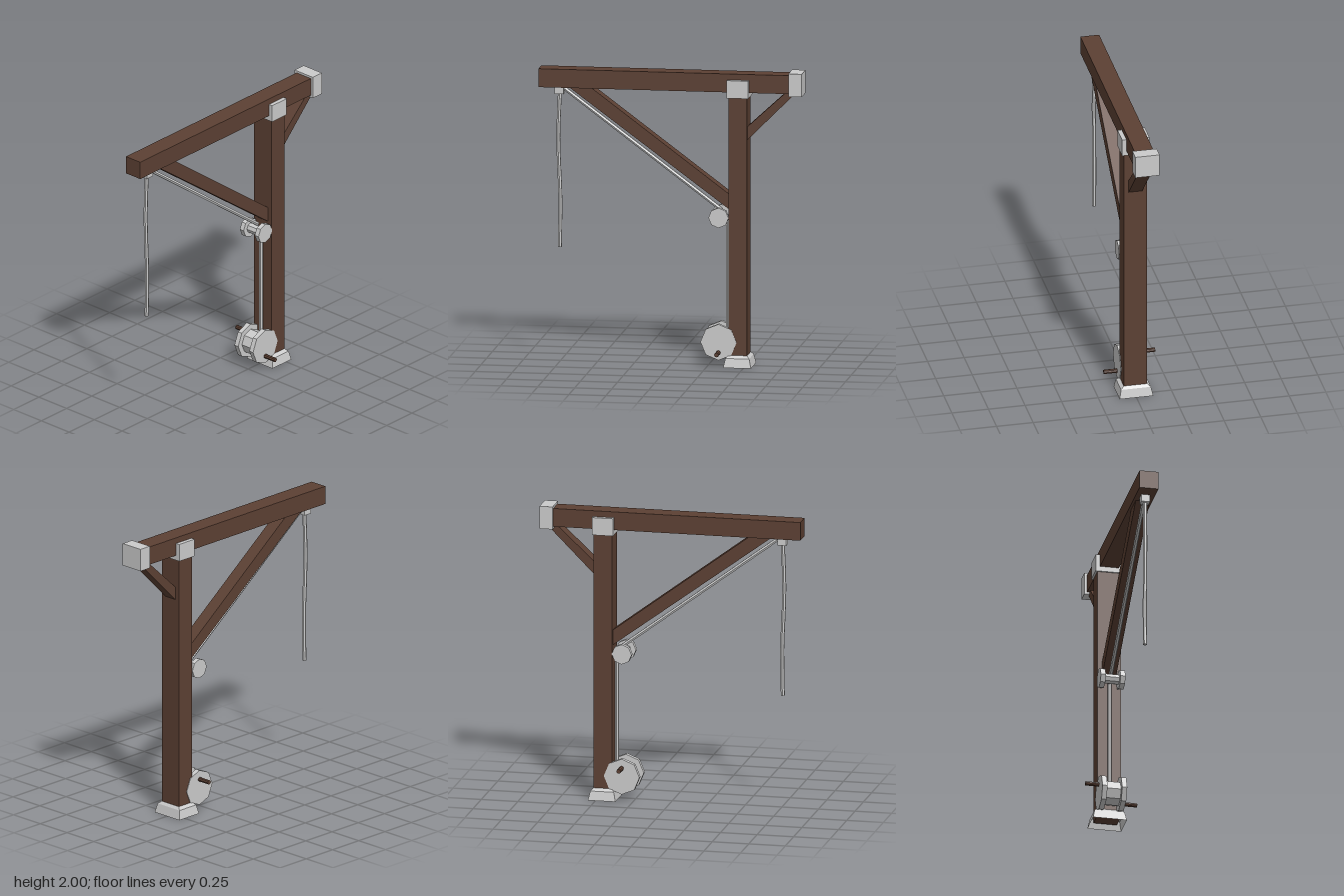
import * as THREE from 'three';

const grey = new THREE.MeshStandardMaterial({ color: 0xcccccc, flatShading: true, side: THREE.DoubleSide });
const wood = new THREE.MeshStandardMaterial({ color: 0x5c4033, flatShading: true });

export function createModel() {
  const model = new THREE.Group();
  const add = (name, geometry, material, parent = model) => {
    const mesh = new THREE.Mesh(geometry, material);
    mesh.name = name;
    parent.add(mesh);
    return mesh;
  };
  // Box given by its x and y limits and half depth
  const box = (name, x0, x1, y0, y1, hz, material) =>
    add(name, new THREE.BoxGeometry(x1 - x0, y1 - y0, hz * 2), material)
      .position.set((x0 + x1) / 2, (y0 + y1) / 2, 0);
  // Side outline extruded evenly about z = 0
  const slab = (name, points, hz, material) => {
    const shape = new THREE.Shape(points.map(p => new THREE.Vector2(...p)));
    const g = new THREE.ExtrudeGeometry(shape, { depth: hz * 2, bevelEnabled: false });
    add(name, g.translate(0, 0, -hz), material);
  };
  // Cylinder along z with corners on the axes
  const disc = (name, r, z0, z1, x, y, material, parent, sides = 8) => {
    const g = new THREE.CylinderGeometry(r, r, z1 - z0, sides).rotateX(Math.PI / 2);
    add(name, g, material, parent).position.set(x, y, (z0 + z1) / 2);
  };

  // Timber frame
  box('post', 0.395, 0.52, 0.03, 1.87, 0.08, wood);
  box('beam', -0.89, 0.82, 1.86, 1.985, 0.064, wood);
  slab('longBrace', [[-0.69, 1.865], [0.4, 1.06], [0.4, 1.163], [-0.54, 1.865]], 0.047, wood);
  slab('shortBrace', [[0.515, 1.535], [0.83, 1.85], [0.83, 1.915], [0.515, 1.625]], 0.047, wood);

  // Metal fittings
  box('beamEndCap', 0.8, 0.89, 1.845, 2, 0.083, grey);
  box('postBracket', 0.385, 0.53, 1.825, 1.945, 0.093, grey);
  box('ropeGuide', -0.786, -0.727, 1.81, 1.862, 0.03, grey);

  // Tapered, bottomless foot around the post: half widths at each height
  const rings = [[0.094, 0.115, 0], [0.08, 0.102, 0.062], [0.063, 0.08, 0.08]];
  const pos = [], index = [];
  rings.forEach(([w, d, y], r) => {
    [[-1, 1], [1, 1], [1, -1], [-1, -1]].forEach(([sx, sz], i) => {
      pos.push(sx * w, y, sz * d);
      if (r < 2) {
        const a = r * 4 + i, b = r * 4 + (i + 1) % 4;
        index.push(a, b, b + 4, a, b + 4, a + 4);
      }
    });
  });
  const foot = new THREE.BufferGeometry();
  foot.setAttribute('position', new THREE.Float32BufferAttribute(pos, 3));
  foot.setIndex(index);
  foot.computeVertexNormals();
  add('foot', foot, grey).position.x = 0.458;

  // Pulley and winch: a spool between two octagonal flanges
  const reel = (name, y, r, core) => {
    const group = new THREE.Group();
    group.name = name;
    model.add(group);
    disc(name + 'Core', core, -0.06, 0.06, 0.328, y, grey, group);
    for (const s of [-1, 1]) {
      disc(name + 'Flange', r, s * 0.067 - 0.017, s * 0.067 + 0.017, 0.328, y, grey, group);
    }
    return group;
  };
  reel('pulley', 1.01, 0.068, 0.035);
  const winch = reel('winch', 0.167, 0.122, 0.085);
  disc('frontHandle', 0.015, 0.08, 0.175, 0.328, 0.097, wood, winch);
  disc('backHandle', 0.015, -0.175, -0.08, 0.328, 0.226, wood, winch);

  // Ropes
  const rope = (name, points, segments) => {
    const curve = new THREE.CatmullRomCurve3(points.map(([x, y]) => new THREE.Vector3(x, y, 0)));
    add(name, new THREE.TubeGeometry(curve, segments, 0.014, 6), grey);
    // Closed end
    const end = curve.getPoint(1);
    add(name + 'End', new THREE.CircleGeometry(0.014, 6).rotateX(Math.PI / 2), grey).position.copy(end);
  };
  rope('hangingRope', [[-0.755, 1.83], [-0.766, 1.55], [-0.764, 1.4], [-0.752, 1.1], [-0.756, 0.77]], 10);
  rope('slopingRope', [[-0.735, 1.855], [0.34, 1.05]], 1);
  rope('liftRope', [[0.378, 1.02], [0.378, 0.2]], 1);

  return model;
}
